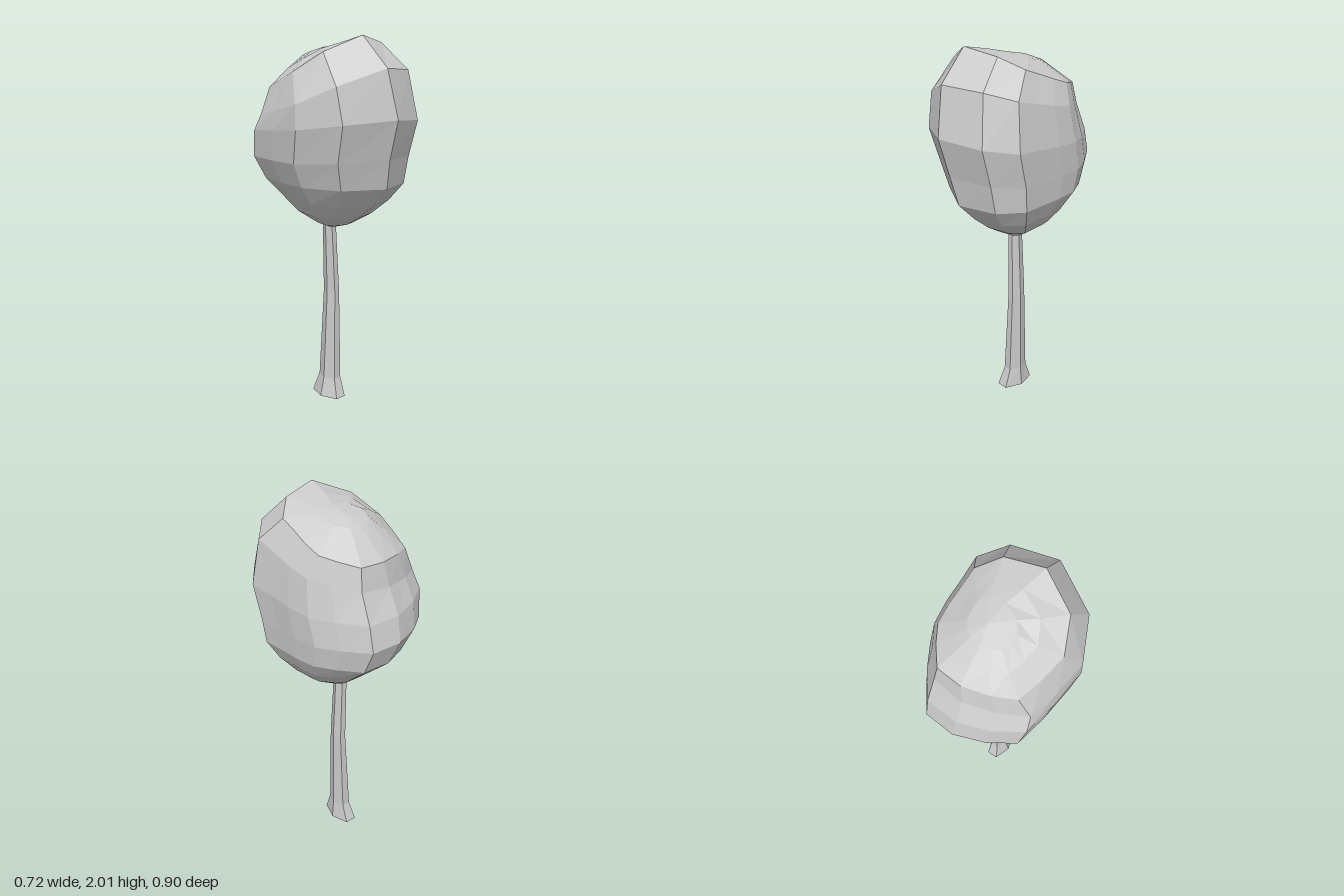
import * as THREE from 'three';

// Skin a stack of rings (bottom to top, each counter-clockwise from above),
// closing the top and, where a bottom point is given, the underside.
function loft(rings, top, bottom) {
  const n = rings[0].length;
  const points = [...rings.flat(), top];
  const t = points.length - 1;
  if (bottom) points.push(bottom);
  const index = [];
  for (let j = 0; j < n; j++) {
    const k = (j + 1) % n;
    if (bottom) index.push(t + 1, k, j);
    for (let i = 0; i < rings.length - 1; i++) {
      const lo = i * n, hi = lo + n;
      index.push(lo + j, lo + k, hi + k, lo + j, hi + k, hi + j);
    }
    const last = (rings.length - 1) * n;
    index.push(last + j, last + k, t);
  }
  const geometry = new THREE.BufferGeometry();
  geometry.setAttribute('position', new THREE.Float32BufferAttribute(points.flat(), 3));
  geometry.setIndex(index);
  const flat = geometry.toNonIndexed();
  flat.computeVertexNormals();
  return flat;
}

// Irregular plan outline of the foliage, [x, z], starting at the front and going to +x
const outline = [
  [0.01, 0.45], [0.25, 0.375], [0.355, 0.23], [0.345, 0.09], [0.34, -0.05], [0.32, -0.19], [0.25, -0.31],
  [0.15, -0.44], [-0.02, -0.45], [-0.18, -0.385], [-0.31, -0.29], [-0.34, -0.1], [-0.355, 0.1], [-0.245, 0.32],
];

// Foliage rings: [left x, right x, back z, front z, back y, front y, rise toward +x, droop at the sides, front shear]
const crownRings = [
  [-0.055, 0.125, -0.105, 0.075, 1.02, 1.015, 0, 0, 0],
  [-0.15, 0.22, -0.2, 0.17, 1.09, 1.07, 0, 0, 0],
  [-0.21, 0.285, -0.29, 0.27, 1.17, 1.15, 0, 0, 0],
  [-0.28, 0.335, -0.4, 0.36, 1.27, 1.245, 0, 0, 0],
  [-0.335, 0.345, -0.45, 0.395, 1.4, 1.4, 0, 0.02, 0],
  [-0.36, 0.355, -0.42, 0.45, 1.53, 1.6, 0, 0.02, 0],
  [-0.34, 0.34, -0.355, 0.4, 1.66, 1.85, 0.14, 0.05, 0.03],
  [-0.26, 0.29, -0.33, 0.25, 1.78, 2.01, 0.1, 0.06, 0.06],
  [-0.17, 0.2, -0.245, 0.12, 1.85, 1.985, 0.05, 0.03, 0.03],
  [-0.1, 0.13, -0.17, 0.03, 1.91, 1.965, 0, 0.01, 0],
];

function crownRing([x0, x1, z0, z1, y0, y1, rise, droop, shear]) {
  return outline.map(([px, pz]) => {
    const side = px / 0.355, v = (pz / 0.45 + 1) / 2;
    const x = THREE.MathUtils.lerp(x0, x1, (side + 1) / 2) - shear * v;
    const y = THREE.MathUtils.lerp(y0, y1, v) + rise * x - droop * side * side;
    return [x, y, THREE.MathUtils.lerp(z0, z1, v)];
  });
}

// Trunk rings, six-sided: [y, left x, right x, back z, front z]
const trunkRings = [
  [0, -0.055, 0.075, -0.135, 0.06],
  [0.11, -0.03, 0.065, -0.097, 0.025],
  [0.62, -0.005, 0.062, -0.078, 0.01],
  [1.04, -0.018, 0.042, -0.07, 0.0],
];

function trunkRing([y, x0, x1, z0, z1]) {
  return Array.from({ length: 6 }, (_, j) => {
    const a = (j + 0.5) * Math.PI / 3;
    return [
      (x0 + x1) / 2 + Math.sin(a) * (x1 - x0) / 2,
      y,
      (z0 + z1) / 2 + Math.cos(a) / 0.866 * (z1 - z0) / 2,
    ];
  });
}

export function createModel() {
  const group = new THREE.Group();
  group.name = 'tree';
  const material = new THREE.MeshStandardMaterial({ color: 0xcccccc, flatShading: true });

  // Egg-shaped foliage, leaning up toward the front
  const crown = new THREE.Mesh(loft(crownRings.map(crownRing), [0.03, 1.945, -0.08], [0.02, 0.99, -0.02]), material);
  crown.name = 'foliage';

  // Slim hollow trunk with a flared, open foot
  const bark = material.clone();
  bark.side = THREE.DoubleSide;
  const trunk = new THREE.Mesh(loft(trunkRings.map(trunkRing), [0.012, 1.04, -0.035]), bark);
  trunk.name = 'trunk';

  group.add(crown, trunk);
  return group;
}
